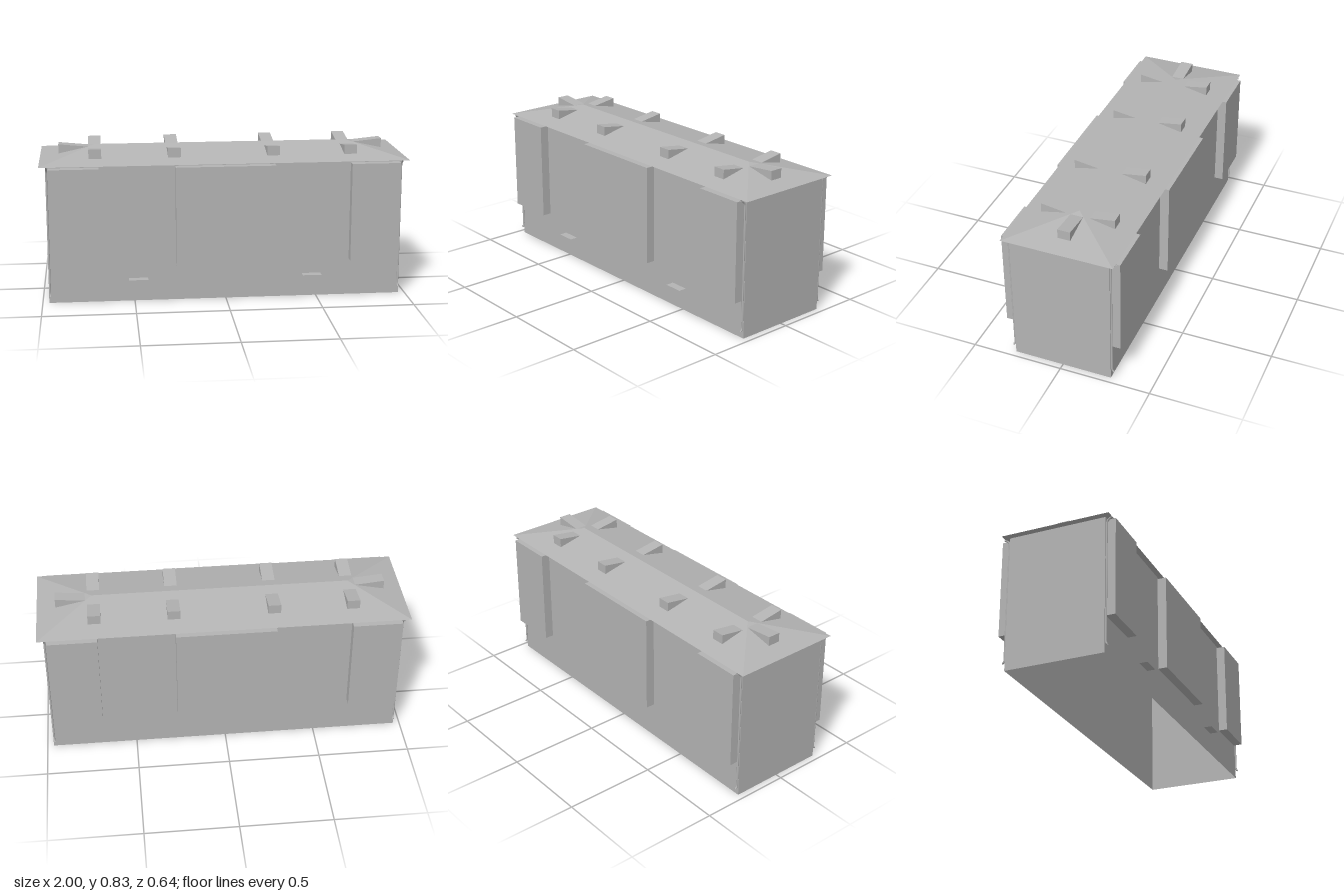
import * as THREE from 'three';

const W = 0.965, D = 0.272, EAVE = 0.757; // body half width, half depth, eave height

export function createModel() {
  const model = new THREE.Group();
  const grey = new THREE.MeshStandardMaterial({ color: 0xb3b3b3, side: THREE.DoubleSide });
  grey.name = 'plain grey';

  const add = (name, geometry, parent = model) => {
    const mesh = new THREE.Mesh(geometry, grey);
    mesh.name = name;
    parent.add(mesh);
    return mesh;
  };
  const group = (name) => {
    const g = new THREE.Group();
    g.name = name;
    model.add(g);
    return g;
  };

  // Four walls, open underneath
  const walls = group('walls');
  for (let i = 0; i < 4; i++) {
    const isLong = i % 2 === 0;
    const holder = new THREE.Group();
    holder.rotation.y = (i * Math.PI) / 2;
    walls.add(holder);
    add(isLong ? 'longWall' : 'endWall', new THREE.PlaneGeometry(2 * (isLong ? W : D), EAVE), holder)
      .position.set(0, EAVE / 2, isLong ? D : W);
  }

  // Hipped roof with a flat soffit
  const a = [-1, EAVE, 0.304], b = [1, EAVE, 0.304], c = [1, EAVE, -0.304], d = [-1, EAVE, -0.304];
  const r = [0.7, 0.822, 0], l = [-0.7, 0.822, 0];
  const faces = [a, b, r, a, r, l, c, d, l, c, l, r, b, c, r, d, a, l, a, d, c, a, c, b];
  const roof = new THREE.BufferGeometry();
  roof.setAttribute('position', new THREE.Float32BufferAttribute(faces.flat(), 3));
  roof.computeVertexNormals();
  add('roof', roof);

  // Wedge-shaped roof vents, running outward along local +x
  const vents = group('roofVents');
  const addVent = (outer, inner, innerY, turn, x) => {
    const profile = new THREE.Shape([
      new THREE.Vector2(outer, 0.779),
      new THREE.Vector2(outer, 0.83),
      new THREE.Vector2(inner, innerY),
    ]);
    const geometry = new THREE.ExtrudeGeometry(profile, { depth: 0.069, bevelEnabled: false });
    geometry.translate(0, 0, -0.0345);
    const vent = add('roofVent', geometry, vents);
    vent.rotation.y = turn;
    vent.position.x = x;
  };
  for (const x of [-0.7, -0.272, 0.268, 0.692]) {
    for (const side of [-1, 1]) addVent(0.203, 0.065, 0.809, (side * Math.PI) / 2, x);
  }
  for (const turn of [0, Math.PI]) addVent(0.897, 0.735, 0.814, turn, 0);

  // Raised panels along both long walls
  const panels = group('wallPanels');
  for (const side of [-1, 1]) {
    for (const [x, width] of [[-0.817, 0.268], [-0.003, 0.54], [0.815, 0.268]]) {
      add('wallPanel', new THREE.BoxGeometry(width, 0.542, 0.05), panels)
        .position.set(x, 0.476, side * 0.297);
    }
  }

  // Thin ledges low on the front wall
  for (const x of [-0.479, 0.472]) {
    const ledge = add('ledge', new THREE.PlaneGeometry(0.104, 0.045));
    ledge.rotation.x = -Math.PI / 2;
    ledge.position.set(x, 0.128, 0.294);
  }

  // Drainpipes at the four corners, bent outward at top and foot
  const pipes = group('drainpipes');
  for (const x of [-0.959, 0.959]) {
    for (const side of [-1, 1]) {
      const p = (z, y) => new THREE.Vector3(x, y, side * z);
      const path = new THREE.CurvePath();
      path.add(new THREE.QuadraticBezierCurve3(p(0.305, 0.753), p(0.277, 0.742), p(0.277, 0.722)));
      path.add(new THREE.LineCurve3(p(0.277, 0.722), p(0.277, 0.065)));
      path.add(new THREE.QuadraticBezierCurve3(p(0.277, 0.065), p(0.277, 0.046), p(0.288, 0.044)));
      add('drainpipe', new THREE.TubeGeometry(path, 120, 0.005, 8), pipes);
    }
  }

  return model;
}
